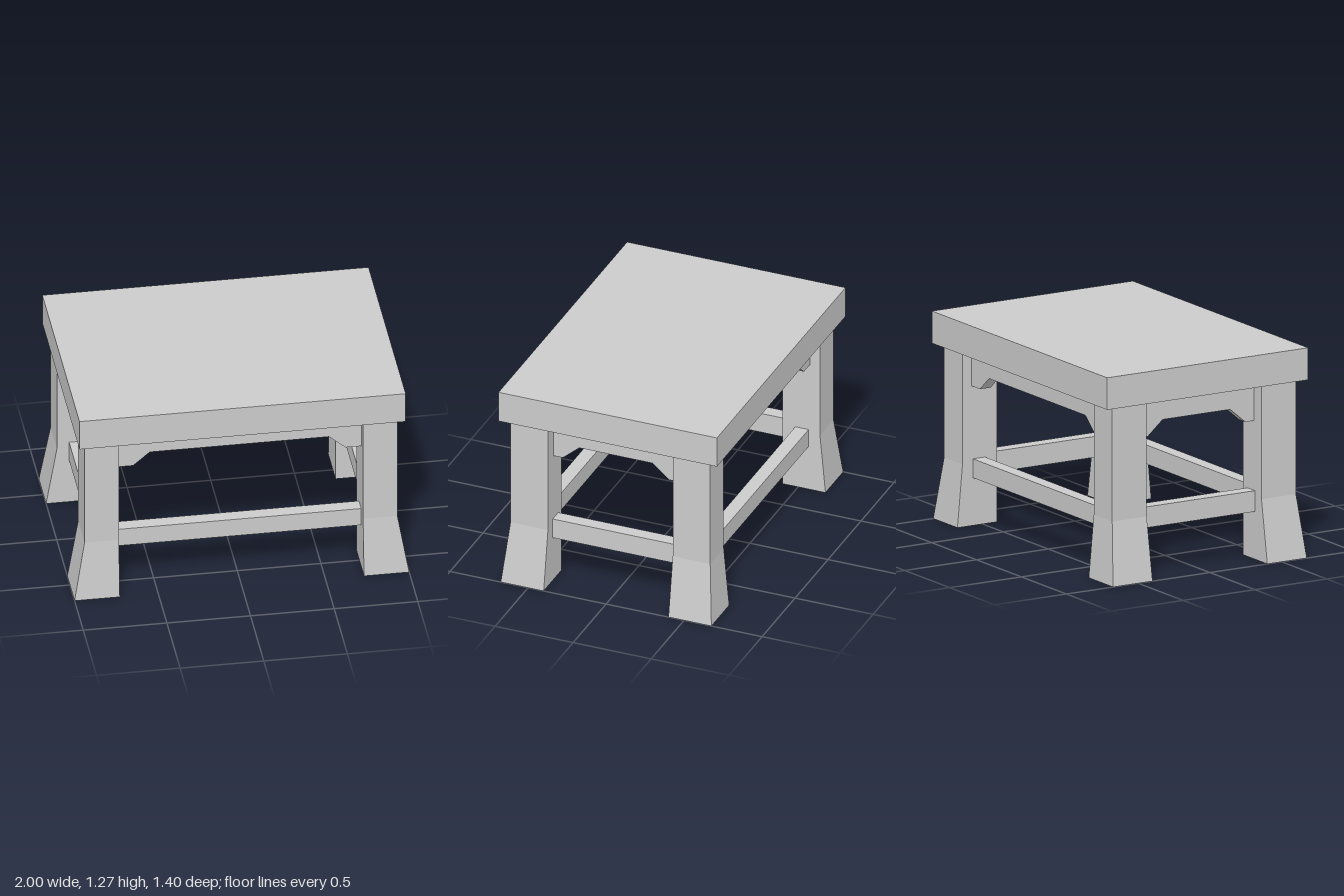
import * as THREE from 'three';

const material = new THREE.MeshStandardMaterial({ color: 0xcccccc, flatShading: true });

const UNDERSIDE = 1.075;                 // height where the legs meet the top
const LEG = { x0: 0.73, x1: 0.935, z0: 0.40, z1: 0.64, bend: 0.38, footX: 1.0, footZ: 0.675 };

function addMesh(parent, name, geometry, x = 0, y = 0, z = 0) {
  const mesh = new THREE.Mesh(geometry, material);
  mesh.name = name;
  mesh.position.set(x, y, z);
  parent.add(mesh);
  return mesh;
}

// Square leg: straight inner faces, outer faces flaring out below the bend
function legGeometry(sx, sz) {
  const geometry = new THREE.BoxGeometry(1, 1, 1, 1, 2, 1);
  const p = geometry.attributes.position;
  for (let i = 0; i < p.count; i++) {
    const level = Math.round((p.getY(i) + 0.5) * 2);   // 0 foot, 1 bend, 2 top
    const outerX = level === 0 ? LEG.footX : LEG.x1;
    const outerZ = level === 0 ? LEG.footZ : LEG.z1;
    const x = p.getX(i) * sx > 0 ? outerX : LEG.x0;
    const z = p.getZ(i) * sz > 0 ? outerZ : LEG.z0;
    p.setXYZ(i, sx * x, [0, LEG.bend, UNDERSIDE][level], sz * z);
  }
  geometry.computeVertexNormals();
  return geometry;
}

// Apron board with a dropped, chamfered bracket at each end
function apronGeometry(half, flat, chamfer, low, high, thickness) {
  const shape = new THREE.Shape([
    [-half, UNDERSIDE], [-half, low], [-flat, low], [-chamfer, high],
    [chamfer, high], [flat, low], [half, low], [half, UNDERSIDE],
  ].map(([x, y]) => new THREE.Vector2(x, y)));
  const geometry = new THREE.ExtrudeGeometry(shape, { depth: thickness, bevelEnabled: false });
  return geometry.translate(0, 0, -thickness / 2);
}

export function createModel() {
  const model = new THREE.Group();
  model.name = 'table';

  // Thick slab top
  addMesh(model, 'tableTop', new THREE.BoxGeometry(1.95, 0.195, 1.4), 0, UNDERSIDE + 0.0975, 0);

  // Four legs
  for (const sx of [-1, 1]) {
    for (const sz of [-1, 1]) {
      addMesh(model, `${sz > 0 ? 'front' : 'back'}${sx > 0 ? 'Left' : 'Right'}Leg`, legGeometry(sx, sz));
    }
  }

  // Aprons and stretchers on all four sides
  for (const s of [-1, 1]) {
    const long = s > 0 ? 'front' : 'back';
    addMesh(model, `${long}Apron`, apronGeometry(LEG.x0, 0.635, 0.535, 0.85, 0.935, 0.075), 0, 0, s * 0.54);
    addMesh(model, `${long}Stretcher`, new THREE.BoxGeometry(LEG.x0 * 2, 0.115, 0.085), 0, 0.3475, s * 0.525);

    const short = s > 0 ? 'left' : 'right';
    const side = addMesh(model, `${short}Apron`, apronGeometry(LEG.z0, 0.34, 0.235, 0.84, 0.93, 0.07), s * 0.815);
    side.rotation.y = Math.PI / 2;
    addMesh(model, `${short}Stretcher`, new THREE.BoxGeometry(0.085, 0.127, LEG.z0 * 2), s * 0.82, 0.3535, 0);
  }

  return model;
}
